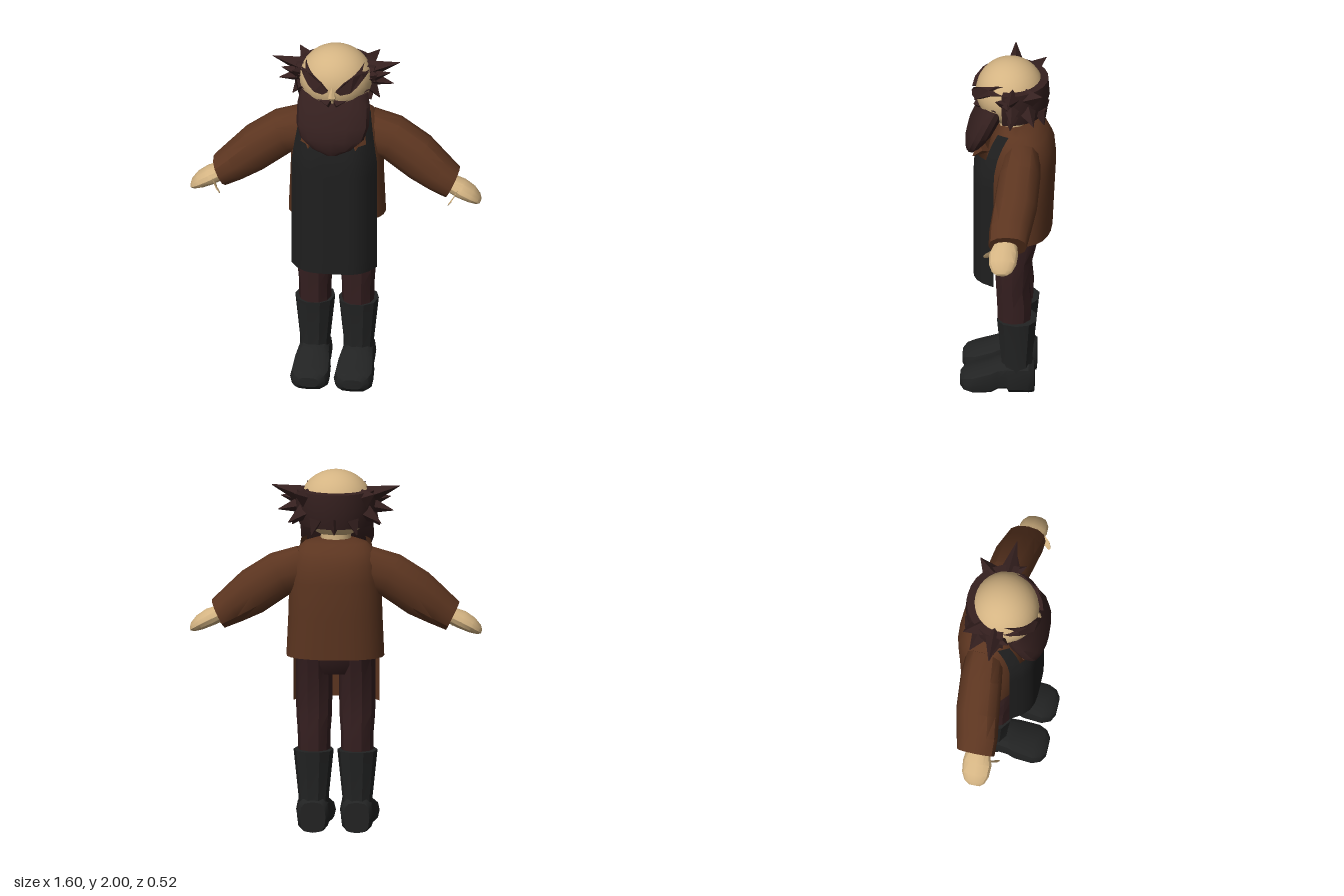
import * as THREE from 'three';
import { toCreasedNormals } from 'three/addons/utils/BufferGeometryUtils.js';

const material = (name, color, side = THREE.FrontSide) => {
  const m = new THREE.MeshStandardMaterial({ color, side });
  m.name = name;
  return m;
};

// Ring around centre c spanned by half-axes u and v; p < 1 squares it off.
function ring(c, u, v, n = 12, p = 1) {
  const bend = (t) => Math.sign(t) * Math.abs(t) ** p;
  return Array.from({ length: n }, (_, i) => {
    const a = (i / n) * Math.PI * 2, s = bend(Math.sin(a)), t = bend(Math.cos(a));
    return c.map((k, j) => k + u[j] * t + v[j] * s);
  });
}

// Closed skin over a row of rings, always wound outward.
function loft(rings, crease = 0.6) {
  const n = rings[0].length, pos = rings.flat(), idx = [];
  for (let r = 0; r < rings.length - 1; r++) {
    for (let i = 0; i < n; i++) {
      const a = r * n + i, b = r * n + (i + 1) % n;
      idx.push(a, b, a + n, b, b + n, a + n);
    }
  }
  const last = (rings.length - 1) * n;
  for (let i = 1; i < n - 1; i++) {
    idx.push(0, i + 1, i, last, last + i, last + i + 1);
  }
  let volume = 0;
  const [A, B, C] = [0, 1, 2].map(() => new THREE.Vector3());
  for (let i = 0; i < idx.length; i += 3) {
    A.fromArray(pos[idx[i]]); B.fromArray(pos[idx[i + 1]]); C.fromArray(pos[idx[i + 2]]);
    volume += A.dot(B.cross(C));
  }
  if (volume < 0) idx.reverse();
  const g = new THREE.BufferGeometry();
  g.setAttribute('position', new THREE.Float32BufferAttribute(pos.flat(), 3));
  g.setIndex(idx);
  return toCreasedNormals(g, crease);
}

// Upright loft; rows are [y, half width, front z, back z].
const column = (rows, x = 0, n = 12, p = 1, crease = 0.6) => loft(rows.map(([y, w, f, b]) =>
  ring([x, y, (f + b) / 2], [w, 0, 0], [0, 0, (f - b) / 2], n, p)), crease);

// Four-sided pointed tuft of hair.
function spike(base, tip, r) {
  const d = new THREE.Vector3(...tip).sub(new THREE.Vector3(...base)).normalize();
  const u = new THREE.Vector3(0.01, 1, 0.02).cross(d).normalize();
  const v = d.clone().cross(u);
  const at = (c, k, q) => ring(c, u.clone().multiplyScalar(k).toArray(),
    v.clone().multiplyScalar(q).toArray(), 4);
  return loft([at(base, r, r), at(tip, 0.002, 0.002)], 0.1);
}

// Apron cloth bent round the body; t runs from -1 to 1 across it.
function cloth(t0, t1, y0, y1, lining) {
  const g = new THREE.PlaneGeometry(1, 1, 12, 12);
  if (lining) g.rotateY(Math.PI);
  const p = g.attributes.position;
  for (let i = 0; i < p.count; i++) {
    const t = t0 + (p.getX(i) + 0.5) * (t1 - t0);
    const y = y0 + (p.getY(i) + 0.5) * (y1 - y0);
    const k = Math.max(0, (y - 1.35) / 0.27);
    const z = 0.07 + 0.12 * (1 - Math.abs(t) ** 4) - 0.08 * k * k;
    p.setXYZ(i, t * (0.235 - 0.045 * k), y, z - (lining ? 0.008 : 0));
  }
  g.computeVertexNormals();
  return g;
}

export function createModel() {
  const model = new THREE.Group();
  const skin = material('skin', 0xd4b483);
  const coat = material('brown coat', 0x5c3520);
  const dark = material('apron black', 0x1f1f1f);
  const boot = material('boot black', 0x222323);
  const cloths = material('trouser brown', 0x351f20);
  const hair = material('hair brown', 0x35201f, THREE.DoubleSide);
  const add = (name, g, m) => {
    const mesh = new THREE.Mesh(g, m);
    mesh.name = name;
    model.add(mesh);
    return mesh;
  };

  // Head, neck and nose
  const head = add('head', new THREE.SphereGeometry(1, 32, 20), skin);
  head.scale.set(0.2, 0.186, 0.188);
  head.position.set(0, 1.814, -0.008);
  add('neck', column([[1.57, 0.085, 0.05, -0.1], [1.7, 0.08, 0.05, -0.1]]), skin);
  add('nose', column([[1.755, 0.014, 0.18, 0.14], [1.775, 0.026, 0.195, 0.14],
    [1.8, 0.02, 0.19, 0.14], [1.84, 0.01, 0.178, 0.14]], 0, 8), skin);

  // Coat body
  add('coatBody', column([[0.98, 0.268, 0.1, -0.24], [1.2, 0.258, 0.12, -0.25],
    [1.4, 0.252, 0.12, -0.26], [1.5, 0.24, 0.1, -0.25], [1.57, 0.215, 0.07, -0.215],
    [1.61, 0.17, 0.04, -0.165], [1.625, 0.11, 0.03, -0.12]], 0, 24, 0.85), coat);

  // Apron with bib straps and brown lining
  for (const lining of [false, true]) {
    const name = lining ? 'apronLining' : 'apron', m = lining ? coat : dark;
    add(name, cloth(-1, 1, 0.7, 1.47, lining), m);
    add(name + 'StrapLeft', cloth(0.84, 1, 1.47, 1.62, lining), m);
    add(name + 'StrapRight', cloth(-1, -0.84, 1.47, 1.62, lining), m);
  }

  // Beard
  add('beard', column([[1.765, 0.185, 0.14, -0.01], [1.7, 0.2, 0.18, 0.02],
    [1.6, 0.2, 0.222, 0.07], [1.53, 0.175, 0.237, 0.12], [1.475, 0.11, 0.235, 0.16],
    [1.44, 0.03, 0.22, 0.19]], 0, 16, 0.9), hair);

  // Hair band round the back of the head
  const band = [[0.17, 1.71], [0.2, 1.7], [0.225, 1.8], [0.218, 1.895], [0.165, 1.9]]
    .map(([r, y]) => new THREE.Vector2(r, y));
  add('hairBand', toCreasedNormals(new THREE.LatheGeometry(band, 14, Math.PI / 2 - 0.12,
    Math.PI + 0.24), 0.5), hair);
  for (const x of [-0.1, 0, 0.1]) {
    add('napeTuft', spike([x, 1.75, -0.18], [x * 1.25, 1.67, -0.2], 0.045), hair);
  }

  // Seat of the trousers
  add('trouserSeat', column([[0.88, 0.17, 0.05, -0.13], [0.94, 0.205, 0.075, -0.17],
    [1.02, 0.21, 0.08, -0.19]], 0, 16), cloths);

  for (const s of [1, -1]) {
    const side = s > 0 ? 'left' : 'right';
    // Slanted arm sections: [x, y, z, half height, half depth]
    const limb = (rows, n, p) => loft(rows.map(([x, y, z, h, w]) =>
      ring([s * x, y, z], [s * h * 0.44, h * 0.9, 0], [0, 0, w], n, p)));

    add(side + 'Sleeve', limb([[0.15, 1.47, -0.085, 0.13, 0.1], [0.3, 1.43, -0.075, 0.125, 0.115],
      [0.455, 1.325, -0.06, 0.128, 0.12], [0.56, 1.25, -0.04, 0.106, 0.115],
      [0.64, 1.195, -0.03, 0.086, 0.105]], 12, 0.9), coat);
    add(side + 'Hand', limb([[0.61, 1.205, -0.02, 0.045, 0.06], [0.69, 1.17, -0.01, 0.05, 0.08],
      [0.745, 1.14, -0.008, 0.042, 0.075], [0.782, 1.115, -0.006, 0.026, 0.055],
      [0.796, 1.103, -0.005, 0.01, 0.03]], 12), skin);
    add(side + 'Thumb', limb([[0.67, 1.17, 0.04, 0.03, 0.025], [0.65, 1.14, 0.08, 0.022, 0.018],
      [0.632, 1.122, 0.095, 0.012, 0.01]], 8), skin);

    // Trouser leg and boot
    add(side + 'TrouserLeg', column([[0.42, 0.088, 0.055, -0.13], [0.55, 0.09, 0.06, -0.135],
      [0.65, 0.098, 0.065, -0.125], [0.82, 0.1, 0.075, -0.14], [0.98, 0.1, 0.078, -0.18]],
      s * 0.118, 10), cloths);
    add(side + 'BootShaft', column([[0.12, 0.085, 0.04, -0.145], [0.19, 0.083, 0.035, -0.138],
      [0.45, 0.11, 0.06, -0.165]], s * 0.12, 10, 0.9), boot);
    // Foot sections: [z, bottom, top, half width]
    add(side + 'BootFoot', loft([[-0.148, 0, 0.17, 0.07], [-0.12, 0, 0.19, 0.088],
      [-0.01, 0, 0.19, 0.09], [0, 0.022, 0.188, 0.09], [0.05, 0.022, 0.18, 0.095],
      [0.09, 0, 0.165, 0.103], [0.19, 0, 0.13, 0.109], [0.235, 0.01, 0.115, 0.09],
      [0.258, 0.035, 0.09, 0.055]].map(([z, b, t, w]) =>
      ring([s * 0.12, (b + t) / 2, z], [w, 0, 0], [0, (t - b) / 2, 0], 12, 0.65))), boot);

    // Bushy brow hugging the forehead
    const brow = new THREE.Shape([[0.022, 1.822], [0.05, 1.802], [0.1, 1.808], [0.135, 1.835],
      [0.165, 1.865], [0.185, 1.88], [0.155, 1.895], [0.16, 1.925], [0.115, 1.893],
      [0.06, 1.862]].map(([x, y]) => new THREE.Vector2(s * x, y)));
    const bg = new THREE.ExtrudeGeometry(brow, { depth: 0.04, bevelEnabled: false });
    const p = bg.attributes.position;
    for (let i = 0; i < p.count; i++) {
      const x = p.getX(i) / 0.2, y = (p.getY(i) - 1.814) / 0.186;
      p.setZ(i, 0.188 * Math.sqrt(Math.max(0.05, 1 - x * x - y * y)) - 0.025 + p.getZ(i));
    }
    bg.computeVertexNormals();
    add(side + 'Brow', bg, hair);

    // Moustache half and coat collar point
    add(side + 'Moustache', spike([s * 0.01, 1.735, 0.165], [s * 0.2, 1.785, 0.06], 0.032), hair);
    add(side + 'CollarPoint', spike([s * 0.135, 1.53, 0.13], [s * 0.13, 1.465, 0.19], 0.045), coat);

    // Wild side tufts
    const tufts = [
      [[0.17, 1.86, -0.03], [0.35, 1.915, -0.02], 0.055],
      [[0.18, 1.83, 0], [0.3, 1.855, -0.01], 0.045],
      [[0.18, 1.81, -0.03], [0.315, 1.78, -0.03], 0.05],
      [[0.185, 1.77, -0.03], [0.24, 1.695, -0.02], 0.045],
      [[0.19, 1.83, -0.01], [0.235, 1.87, 0.06], 0.045],
      [[0.16, 1.86, -0.12], [0.22, 1.9, -0.195], 0.055],
      [[0.17, 1.78, -0.11], [0.255, 1.73, -0.15], 0.05],
    ];
    for (const [a, b, r] of tufts) {
      add(side + 'HairTuft', spike([s * a[0], a[1], a[2]], [s * b[0], b[1], b[2]], r), hair);
    }
  }
  return model;
}
